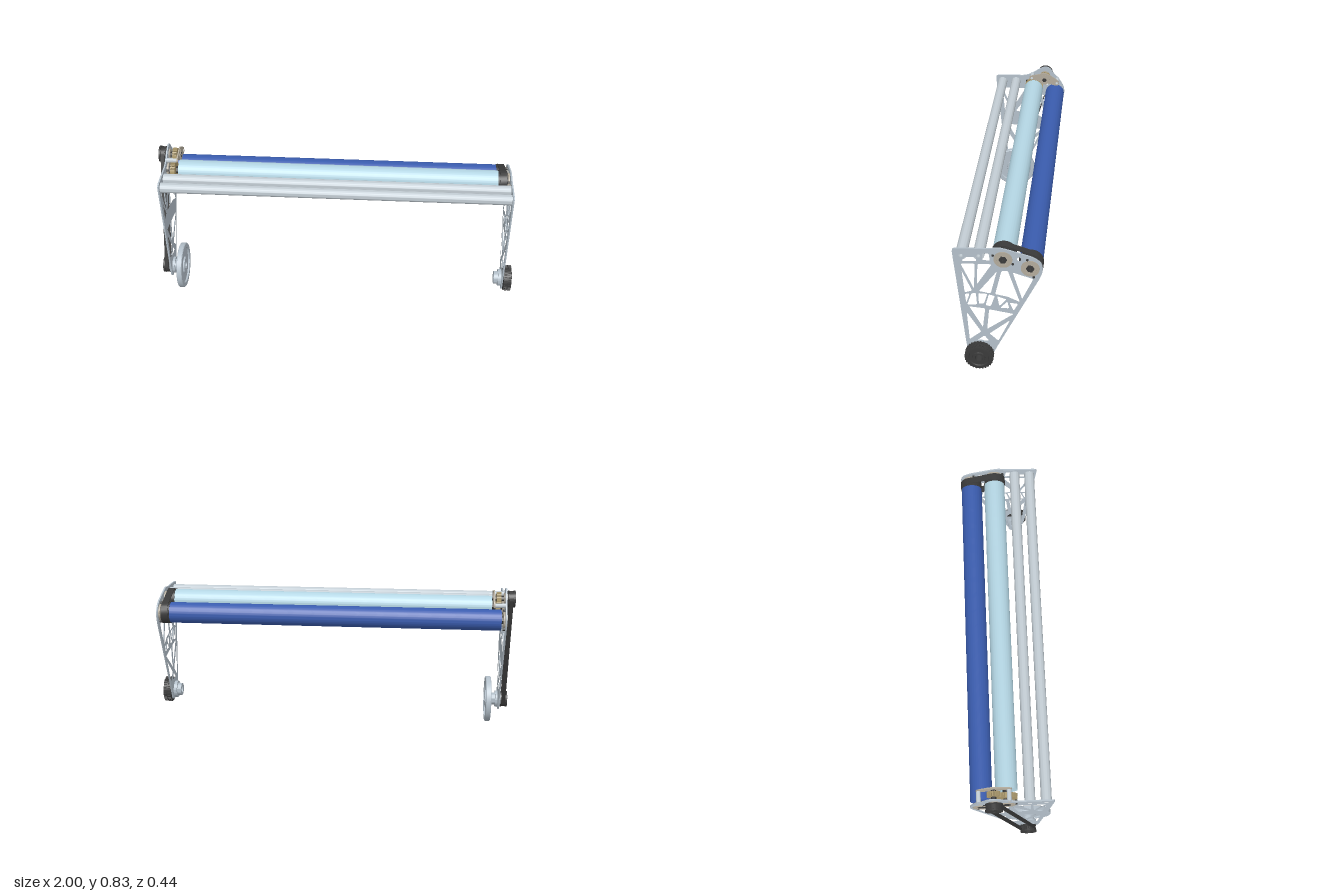
import * as THREE from 'three';
import { toCreasedNormals } from 'three/addons/utils/BufferGeometryUtils.js';

const mat = (color) => new THREE.MeshStandardMaterial({ color });
const PLATE = mat(0xb4c0ca), BLACK = mat(0x3a3a3a), TAN = mat(0xb3ab9c), TUBE = mat(0xc3cdd4);
const BLUE = mat(0x3a5cae), PALE = mat(0xb4d6e4), BRASS = mat(0xa8966a);

// Axis positions as [z, y]
const AXLE = [0.093, 0.131], ROLLER_A = [-0.027, 0.71], ROLLER_B = [-0.157, 0.667];
const DRIVE = [-0.093, 0.77], TUBES = [[0.174, 0.72], [0.09, 0.723]];

export function createModel() {
  const model = new THREE.Group();

  const add = (name, geometry, material, [z, y] = [0, 0]) => {
    const mesh = new THREE.Mesh(geometry, material);
    mesh.name = name;
    mesh.position.set(0, y, z);
    model.add(mesh);
    return mesh;
  };

  // Closed [radius, x] profile turned about the x axis
  const turned = (name, profile, material, at, sides = 48) => {
    const pts = [...profile, profile[0]].map(([r, x]) => new THREE.Vector2(r, x));
    const g = new THREE.LatheGeometry(pts, sides).rotateZ(-Math.PI / 2);
    return add(name, toCreasedNormals(g, 0.6), material, at);
  };
  const ring = (name, x0, x1, outer, inner, material, at, sides) =>
    turned(name, [[inner, x0], [outer, x0], [outer, x1], [inner, x1]], material, at, sides);

  // Polygon of [z, y] corners with rounded corners
  const rounded = (corners, radius, Type = THREE.Path) => {
    const p = corners.map(([z, y]) => new THREE.Vector2(-z, y));
    const path = new Type();
    p.forEach((c, i) => {
      const a = p[(i + p.length - 1) % p.length], b = p[(i + 1) % p.length];
      const toward = (q) => c.clone().lerp(q, Math.min(0.45, radius / c.distanceTo(q)));
      const s = toward(a), e = toward(b);
      if (i === 0) path.moveTo(s.x, s.y); else path.lineTo(s.x, s.y);
      path.quadraticCurveTo(c.x, c.y, e.x, e.y);
    });
    path.closePath();
    return path;
  };
  const circle = ([z, y], r) => new THREE.Path().absarc(-z, y, r, 0, Math.PI * 2, true);

  // Outline extruded along x
  const slab = (name, shape, x0, x1, material, at) => {
    const g = new THREE.ExtrudeGeometry(shape, { depth: x1 - x0, bevelEnabled: false, curveSegments: 10 });
    g.rotateY(Math.PI / 2).translate(x0, 0, 0);
    return add(name, toCreasedNormals(g, 0.5), material, at);
  };

  const gear = (name, x0, x1, r, teeth, depth, bore, material, at, phase = 0) => {
    const pts = [];
    for (let i = 0; i < teeth; i++) {
      [[0, r - depth], [0.3, r - depth], [0.42, r], [0.85, r]].forEach(([f, q]) => {
        const a = ((i + f + phase) / teeth) * Math.PI * 2;
        pts.push(new THREE.Vector2(Math.cos(a) * q, Math.sin(a) * q));
      });
    }
    const shape = new THREE.Shape(pts);
    shape.holes.push(circle([0, 0], bore));
    slab(name, shape, x0, x1, material, at);
  };

  // Belt loop around two equal pulleys
  const belt = (name, x0, x1, a, b, r, thickness) => {
    const loop = (R, Type) => {
      const dir = Math.atan2(b[1] - a[1], a[0] - b[0]);
      const path = new Type();
      path.absarc(-b[0], b[1], R, dir - Math.PI / 2, dir + Math.PI / 2, false);
      path.absarc(-a[0], a[1], R, dir + Math.PI / 2, dir + Math.PI * 1.5, false);
      path.closePath();
      return path;
    };
    const shape = loop(r, THREE.Shape);
    shape.holes.push(loop(r - thickness, THREE.Path));
    slab(name, shape, x0, x1, BLACK);
  };

  // Side plates: lightened truss, shared openings
  const lower = [[-0.218, 0.655], [-0.205, 0.615], [0.008, 0.165], [0.04, 0.083], [0.146, 0.083], [0.16, 0.18], [0.218, 0.76]];
  const top = [[0.08, 0.765], [0.04, 0.765], [0.0, 0.776]];
  const truss = [
    [[0.176, 0.673], [0.108, 0.677], [0.115, 0.529]],
    [[0.172, 0.631], [0.124, 0.515], [0.161, 0.502]],
    [[0.095, 0.677], [0.027, 0.679], [0.1, 0.555]],
    [[0.003, 0.638], [0.034, 0.504], [0.091, 0.515]],
    [[-0.019, 0.642], [-0.05, 0.645], [-0.108, 0.462], [-0.05, 0.49], [0.012, 0.502]],
    [[-0.073, 0.638], [-0.172, 0.605], [-0.119, 0.482]],
    [[0.141, 0.417], [0.062, 0.41], [0.075, 0.292]],
    [[0.154, 0.38], [0.084, 0.262], [0.143, 0.209]],
    [[0.043, 0.406], [-0.078, 0.386], [0.054, 0.281]],
    [[-0.06, 0.345], [-0.001, 0.209], [0.043, 0.253]],
    [[0.105, 0.205], [0.068, 0.238], [0.045, 0.205]],
  ];
  const pockets = [
    [[0.161, 0.493], [0.137, 0.496], [0.154, 0.439]],
    [[0.128, 0.498], [0.106, 0.502], [0.102, 0.432], [0.15, 0.428]],
    [[0.093, 0.502], [0.05, 0.5], [0.067, 0.441], [0.093, 0.437]],
    [[0.043, 0.498], [0.014, 0.49], [0.034, 0.426], [0.06, 0.43]],
    [[0.003, 0.489], [-0.043, 0.474], [-0.008, 0.43]],
    [[-0.047, 0.461], [-0.056, 0.419], [-0.012, 0.419]],
    [[-0.058, 0.454], [-0.1, 0.45], [-0.078, 0.406]],
    [[0.172, 0.69], [0.155, 0.714], [0.1, 0.717], [0.1, 0.692]],
    [[0.071, 0.741], [0.04, 0.741], [0.036, 0.699], [0.073, 0.703]],
  ];
  const GEAR_POSTS = [[-0.014, 0.778], [-0.17, 0.75]];
  const sidePlate = (name, x0, x1, crown, openings, drilled) => {
    const shape = rounded([...lower, ...top, ...crown], 0.022, THREE.Shape);
    openings.forEach((o) => shape.holes.push(rounded(o, 0.008)));
    shape.holes.push(circle(AXLE, 0.02), circle(ROLLER_A, 0.03), circle(ROLLER_B, 0.03));
    drilled.forEach((h) => shape.holes.push(circle(h, 0.01)));
    slab(name, shape, x0, x1, PLATE);
  };
  sidePlate('leftPlate', 0.943, 0.951, [[-0.04, 0.768], [-0.172, 0.73], [-0.212, 0.7]],
    [...truss, ...pockets], [...TUBES, [-0.104, 0.717]]);
  sidePlate('rightPlate', -0.954, -0.946,
    [[-0.06, 0.816], [-0.092, 0.832], [-0.124, 0.822], [-0.15, 0.782], [-0.178, 0.757], [-0.212, 0.7]],
    truss, [...TUBES, ...GEAR_POSTS, DRIVE, [-0.104, 0.717]]);

  // Front cross tubes
  TUBES.forEach((at) => {
    ring('crossTube', -0.946, 0.943, 0.028, 0.022, TUBE, at);
    ring('tubePlug', -0.946, -0.926, 0.022, 0.01, TUBE, at);
    ring('tubePlug', 0.923, 0.943, 0.022, 0.01, TUBE, at);
  });

  // Rollers with hollow hex shafts, end pulleys and bearings
  [[ROLLER_A, 'paleRoller', PALE, -0.88], [ROLLER_B, 'blueRoller', BLUE, -0.925]].forEach(([at, name, material, x0]) => {
    ring(name, x0, 0.88, 0.057, 0.018, material, at, 64);
    ring('rollerShaft', -0.958, 0.957, 0.02, 0.007, BLACK, at, 6);
    ring('rollerPulley', 0.882, 0.928, 0.056, 0.018, BLACK, at);
    ring('pulleyFlange', 0.88, 0.886, 0.06, 0.018, BLACK, at);
    [[0.934, 0.954], [-0.957, -0.936]].forEach(([a, b]) => {
      ring('bearingHousing', a, b, 0.045, 0.03, TAN, at);
      ring('bearing', a + 0.002, b - 0.002, 0.031, 0.017, TAN, at);
    });
  });
  belt('rollerBelt', 0.889, 0.925, ROLLER_A, ROLLER_B, 0.061, 0.005);

  // Bearing screws
  [[0.021, 0.732], [-0.074, 0.688], [-0.143, 0.717], [-0.174, 0.618]].forEach((at) => {
    ring('screw', 0.93, 0.955, 0.006, 0.001, BLACK, at, 12);
    ring('screw', -0.958, -0.935, 0.006, 0.001, BLACK, at, 12);
  });

  // Gear box at the right end
  const cover = rounded([[0.003, 0.772], [-0.002, 0.792], [-0.06, 0.806], [-0.09, 0.817], [-0.128, 0.802],
    [-0.18, 0.765], [-0.184, 0.738], [-0.165, 0.733], [-0.04, 0.766]], 0.014, THREE.Shape);
  [...GEAR_POSTS, DRIVE].forEach((h) => cover.holes.push(circle(h, 0.008)));
  slab('gearCover', cover, -0.89, -0.883, TAN);
  GEAR_POSTS.forEach((at) => ring('gearPost', -0.946, -0.89, 0.012, 0.008, TUBE, at, 16));
  gear('rollerGear', -0.925, -0.9, 0.056, 36, 0.006, 0.018, BRASS, ROLLER_A);
  gear('driveGear', -0.925, -0.9, 0.036, 22, 0.006, 0.012, BRASS, DRIVE, 0.5);
  ring('driveShaft', -0.998, -0.878, 0.014, 0.006, BLACK, DRIVE, 6);
  ring('driveBearing', -0.89, -0.88, 0.031, 0.012, TAN, DRIVE);
  ring('driveBearing', -0.958, -0.94, 0.031, 0.012, TAN, DRIVE);

  // Long drive belt and its flanged pulleys
  [DRIVE, AXLE].forEach((at) => {
    const bore = at === AXLE ? 0.019 : 0.012;
    gear('beltPulley', -0.99, -0.967, 0.038, 24, 0.003, bore, BLACK, at);
    ring('pulleyFlange', -1, -0.99, 0.045, bore, BLACK, at);
    ring('pulleyFlange', -0.967, -0.96, 0.045, bore, BLACK, at);
  });
  belt('driveBelt', -0.989, -0.968, DRIVE, AXLE, 0.042, 0.005);

  // Right drive wheel with recessed web and hub
  turned('discWheel', [[0.019, -0.912], [0.045, -0.912], [0.045, -0.896], [0.1, -0.896], [0.104, -0.905], [0.126, -0.905],
    [0.13, -0.901], [0.13, -0.879], [0.126, -0.875], [0.104, -0.875], [0.1, -0.884], [0.05, -0.884], [0.046, -0.875],
    [0.019, -0.875]], PLATE, AXLE, 72);
  turned('rightHub', [[0.019, -0.962], [0.046, -0.962], [0.046, -0.932], [0.034, -0.932], [0.034, -0.908], [0.019, -0.908]],
    PLATE, AXLE);

  // Left treaded wheel with two staggered rows of lugs
  turned('treadWheel', [[0.019, 0.955], [0.069, 0.955], [0.069, 0.998], [0.06, 1], [0.052, 1], [0.049, 0.994],
    [0.032, 0.994], [0.03, 1], [0.019, 1]], BLACK, AXLE);
  gear('treadLugs', 0.957, 0.975, 0.073, 28, 0.006, 0.06, BLACK, AXLE);
  gear('treadLugs', 0.98, 0.998, 0.073, 28, 0.006, 0.06, BLACK, AXLE, 0.5);
  turned('leftHub', [[0.019, 0.902], [0.036, 0.902], [0.036, 0.925], [0.048, 0.925], [0.048, 0.943], [0.03, 0.943],
    [0.03, 0.957], [0.019, 0.957]], PLATE, AXLE);

  return model;
}
